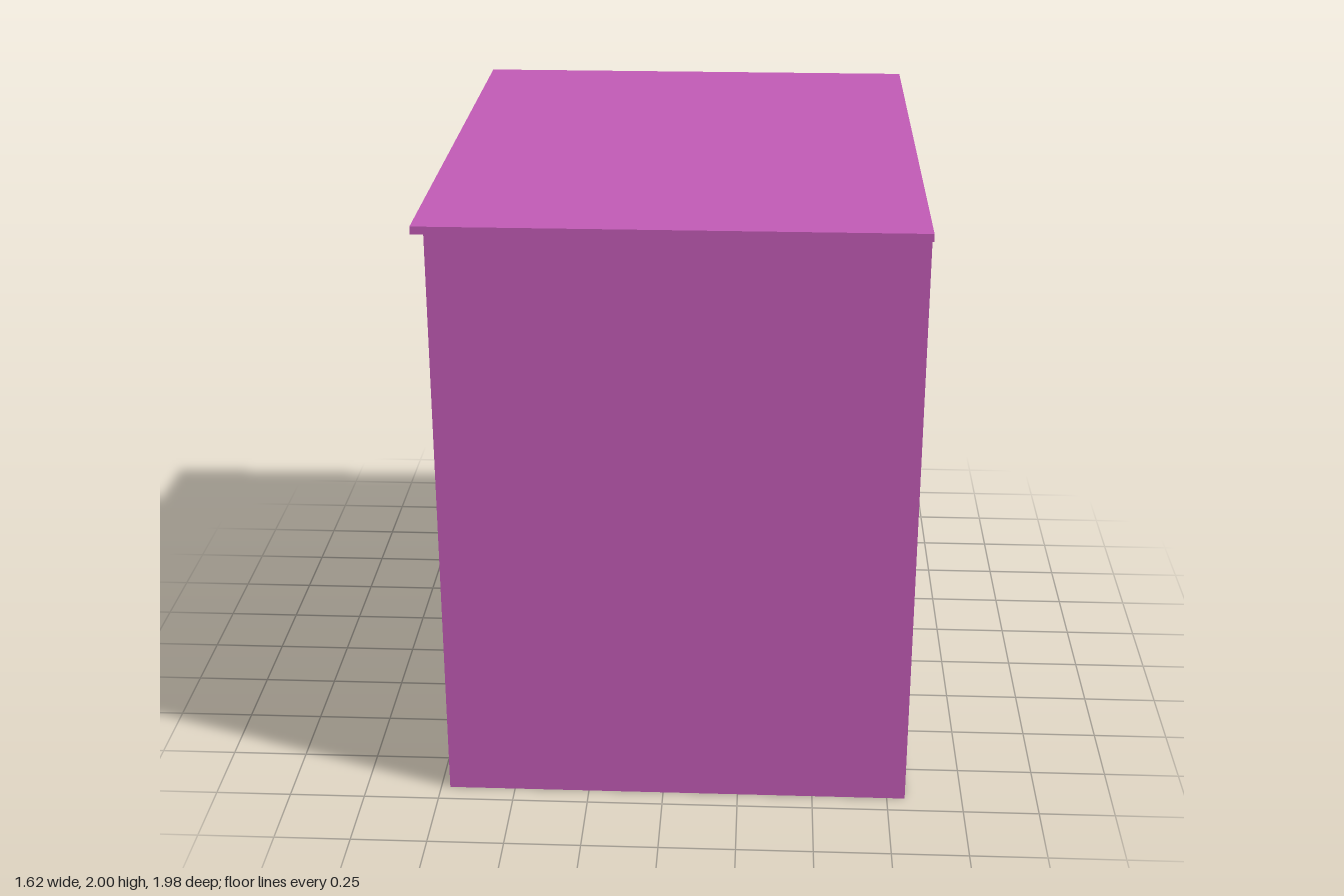
import * as THREE from 'three';

export function createModel() {
  const group = new THREE.Group();
  const purple = new THREE.MeshStandardMaterial({ color: 0xc05ab4 });
  const green = new THREE.MeshStandardMaterial({ color: 0x55b890 });

  // Box given by its min and max along each axis
  function box(name, material, [x0, x1], [y0, y1], [z0, z1]) {
    const mesh = new THREE.Mesh(new THREE.BoxGeometry(x1 - x0, y1 - y0, z1 - z0), material);
    mesh.position.set((x0 + x1) / 2, (y0 + y1) / 2, (z0 + z1) / 2);
    mesh.name = name;
    group.add(mesh);
  }

  const front = -0.72, back = 0.81, half = 0.93, t = 0.025, inner = half - t;

  // Carcass: the open face looks toward -x
  box('topPanel', purple, [-0.75, back], [1.975, 2], [-0.99, 0.99]);
  box('bottomPanel', purple, [front, back], [0, 0.02], [-half, half]);
  box('backPanel', purple, [back - t, back], [0.02, 1.975], [-inner, inner]);
  for (const s of [-1, 1]) {
    const z = [s * half, s * inner].sort((a, b) => a - b);
    box(s > 0 ? 'sidePanelFront' : 'sidePanelRear', purple, [front, back], [0.02, 1.975], z);
  }

  // Inside: rear wall of the niche, rail block above it and strip under the top
  box('nicheBack', purple, [0.25, 0.25 + t], [0.02, 1.975], [-inner, inner]);
  box('drawerRail', purple, [front + 0.015, 0.25], [1.07, 1.32], [-inner, inner]);
  box('topRail', purple, [front + 0.015, 0.25], [1.925, 1.975], [-inner, inner]);

  // Drawer
  box('drawer', green, [front + 0.003, 0.25], [1.32, 1.925], [-inner, inner]);

  // Handle: bent strip with two mounting tabs, mirrored in z
  const outer = [[-0.755, 0.28], [-0.755, 0.19], [-0.815, 0.14]];
  const innerSide = [[-0.797, 0.13], [-0.738, 0.178], [front, 0.178], [front, 0.28]];
  const mirror = (pts) => pts.map(([x, z]) => [x, -z]).reverse();
  const outline = [...outer, ...mirror(outer), ...mirror(innerSide), ...innerSide];
  const shape = new THREE.Shape(outline.map(([x, z]) => new THREE.Vector2(x, z)));
  const geometry = new THREE.ExtrudeGeometry(shape, { depth: 0.035, bevelEnabled: false });
  geometry.rotateX(Math.PI / 2);
  const handle = new THREE.Mesh(geometry, green);
  handle.position.y = 1.62;
  handle.name = 'handle';
  group.add(handle);

  return group;
}
